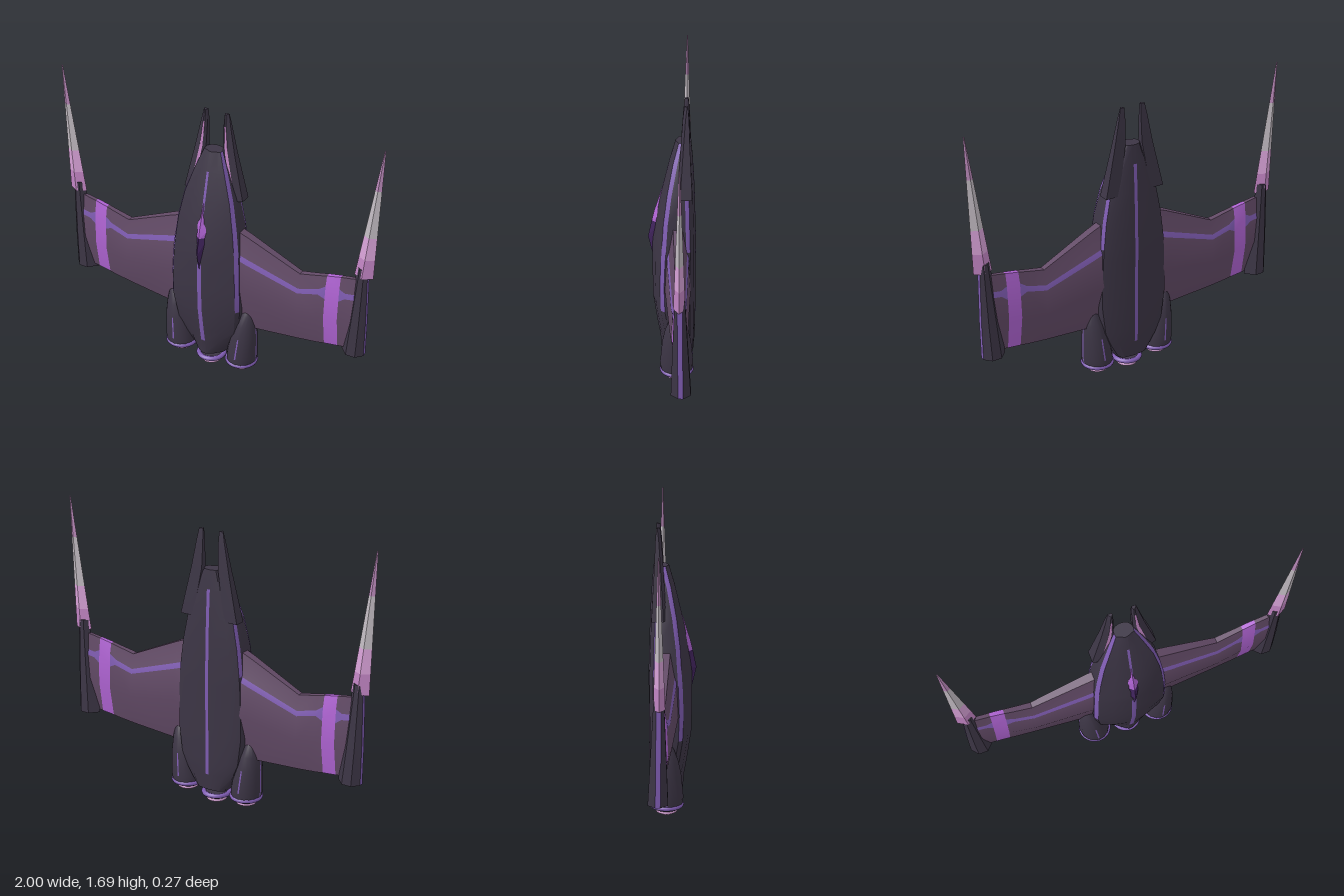
import * as THREE from 'three';
import { toCreasedNormals } from 'three/addons/utils/BufferGeometryUtils.js';

const paint = (name, color) => {
  const m = new THREE.MeshStandardMaterial({ color });
  m.name = name;
  return m;
};
const HULL = paint('charcoal hull', 0x3c3545);
const WING = paint('plum wing', 0x624a66);
const LINE = paint('lavender line', 0x7f5cb2);
const VIOLET = paint('bright violet', 0xb064d4);
const GLASS = paint('dark violet glass', 0x40235c);
const BASE = paint('mauve', 0xc285c4);
const PINK = paint('pale pink', 0xd8a2d8);
const GREY = paint('warm grey', 0xc2bbc2);
const TIP = paint('dusty pink', 0xbb8abb);

// Skin closed rings of [x, y, z]; pick(column, row) gives each panel's material.
function loft(name, rings, pick, side = 1, crease = 0.5) {
  const buckets = new Map();
  const tri = (mat, a, b, c) => {
    if (!buckets.has(mat)) buckets.set(mat, []);
    for (const p of side > 0 ? [a, b, c] : [a, c, b]) buckets.get(mat).push(p[0] * side, p[1], p[2]);
  };
  const n = rings[0].length, last = rings.length - 1;
  for (let j = 0; j < last; j++) {
    for (let i = 0; i < n; i++) {
      const k = (i + 1) % n, mat = pick(i, j);
      tri(mat, rings[j][i], rings[j][k], rings[j + 1][k]);
      tri(mat, rings[j][i], rings[j + 1][k], rings[j + 1][i]);
    }
  }
  // end caps
  const centre = r => [0, 1, 2].map(a => r.reduce((s, p) => s + p[a], 0) / n);
  const c0 = centre(rings[0]), c1 = centre(rings[last]);
  for (let i = 0; i < n; i++) {
    const k = (i + 1) % n;
    tri(pick(i, 0, true), c0, rings[0][k], rings[0][i]);
    tri(pick(i, last - 1, true), c1, rings[last][i], rings[last][k]);
  }
  const geo = new THREE.BufferGeometry(), pos = [], mats = [];
  for (const [mat, list] of buckets) {
    geo.addGroup(pos.length / 3, list.length / 3, mats.length);
    mats.push(mat);
    for (const v of list) pos.push(v);
  }
  geo.setAttribute('position', new THREE.Float32BufferAttribute(pos, 3));
  const mesh = new THREE.Mesh(toCreasedNormals(geo, crease), mats);
  mesh.name = name;
  return mesh;
}

function makeHull() {
  // y, half width, front z, edge z, back z
  const stations = [
    [0.11, 0.1, 0.058, -0.02, -0.125], [0.21, 0.16, 0.067, 0.0, -0.133], [0.3, 0.2, 0.083, 0.02, -0.135],
    [0.47, 0.222, 0.108, 0.045, -0.135], [0.62, 0.22, 0.11, 0.05, -0.135], [0.77, 0.213, 0.11, 0.045, -0.135],
    [0.84, 0.208, 0.108, 0.04, -0.135], [1.0, 0.188, 0.085, 0.03, -0.13], [1.16, 0.155, 0.05, 0.01, -0.125],
    [1.32, 0.1, 0.012, -0.02, -0.115], [1.43, 0.055, -0.02, -0.05, -0.105],
  ];
  const rings = stations.map(([y, w, zf, zs, zb]) => {
    const c = y > 0.9 ? 0.007 : 0.013;
    const half = [
      [c, zf], [w * 0.55, zs + (zf - zs) * 0.65], [w * 0.92, zs + 0.012], [w, zs - 0.012],
      [w, zb + 0.05], [w * 0.95, zb + 0.028], [w * 0.68, zb + 0.008], [0.01, zb],
    ];
    const all = [...half, ...half.map(([x, z]) => [-x, z]).reverse()];
    return all.map(([x, z]) => [x, y, z]);
  });
  return loft('hull', rings, (i, j, cap) => {
    if (cap) return HULL;
    if (i === 15 && ((j >= 1 && j <= 4) || j === 7 || j === 8)) return LINE; // front spine
    if (i === 7 && j >= 1 && j <= 8) return LINE; // back spine
    if ((i === 2 || i === 12) && j >= 3) return LINE; // front edges
    if ((i === 4 || i === 10) && (j === 6 || j === 7)) return LINE; // rear edges
    return HULL;
  });
}

function makeCanopy() {
  // y, half width, ridge z, foot z
  const rows = [
    [0.73, 0.004, 0.11, 0.09], [0.84, 0.034, 0.135, 0.085], [0.94, 0.042, 0.114, 0.075],
    [1.0, 0.055, 0.1, 0.062], [1.05, 0.03, 0.084, 0.055], [1.14, 0.005, 0.057, 0.04],
  ];
  const rings = rows.map(([y, w, zr, zf]) => [[0, y, zr], [w, y, zf], [-w, y, zf]]);
  return loft('canopy', rings, (i, j) => (j < 2 ? GLASS : VIOLET), 1, 0.2);
}

function makeWing(side) {
  // x, leading y, stripe y, stripe half height, trailing y, front z, back z
  const stations = [
    [0.15, 0.99, 0.845, 0.016, 0.33, 0.038, -0.11], [0.25, 0.95, 0.81, 0.016, 0.34, 0.03, -0.11],
    [0.56, 0.81, 0.707, 0.014, 0.365, -0.003, -0.102], [0.68, 0.835, 0.738, 0.016, 0.378, -0.015, -0.099],
    [0.72, 0.845, 0.743, 0.04, 0.385, -0.02, -0.098], [0.8, 0.86, 0.748, 0.04, 0.395, -0.028, -0.097],
    [0.835, 0.866, 0.753, 0.017, 0.4, -0.03, -0.096], [0.92, 0.88, 0.765, 0.017, 0.41, -0.036, -0.095],
  ];
  const rings = stations.map(([x, yl, ys, h, yt, zf, zb]) => {
    const zm = (zf + zb) / 2, t = (zf - zb) / 2, ym = (yl + yt) / 2 - 0.04;
    return [
      [x, yl, zm + t * 0.35], [x, ys + h, zm + t * 0.7], [x, ys - h, zm + t * 0.85], [x, ym, zf], [x, yt, zm + t * 0.2],
      [x, yt, zm - t * 0.2], [x, ym, zb], [x, ys - h, zm - t * 0.85], [x, ys + h, zm - t * 0.7], [x, yl, zm - t * 0.35],
    ];
  });
  return loft('wing', rings, (i, j, cap) => {
    if (cap) return WING;
    if (j === 4) return VIOLET;
    return i === 1 || i === 7 ? LINE : WING;
  }, side);
}

function makeWingPod(side) {
  const rows = [[0.38, 0.82, 0.96, -0.02, -0.125], [0.6, 0.845, 0.96, -0.027, -0.112], [0.955, 0.887, 0.952, -0.04, -0.092]];
  const rings = rows.map(([y, xi, xo, zf, zb]) => {
    const d = xo - xi, zm = (zf + zb) / 2;
    return [[0.35, zf], [0.75, zf], [1, zm + 0.013], [1, zm - 0.013], [0.75, zb], [0.35, zb], [0, zm]]
      .map(([u, z]) => [xi + d * u, y, z]);
  });
  return loft('wingPod', rings, (i, j, cap) => (i === 2 && !cap ? LINE : HULL), side, 0.2);
}

function makeTipFin(side) {
  const bands = [BASE, PINK, GREY, TIP];
  const rings = [0.9, 1.02, 1.16, 1.45, 1.69].map(y => {
    const t = (y - 0.9) / 0.79, xi = 0.872 + 0.12 * t, xo = 0.983 + 0.017 * t, h = 0.028 * (1 - t) + 0.003;
    const xm = (xi + xo) / 2;
    return [[xm, y, -0.064 + h], [xo, y, -0.064], [xm, y, -0.064 - h], [xi, y, -0.064]];
  });
  return loft('tipFin', rings, (i, j) => bands[j], side, 0.2);
}

function makeNoseProng(side) {
  // y, inner x, outer x, front z, back z
  const rows = [
    [1.15, 0.1, 0.186, -0.035, -0.115], [1.22, 0.09, 0.17, -0.038, -0.112], [1.43, 0.054, 0.122, -0.05, -0.1],
    [1.58, 0.05, 0.092, -0.06, -0.094], [1.65, 0.053, 0.078, -0.068, -0.088],
  ];
  const rings = rows.map(([y, xi, xo, zf, zb]) => {
    const d = xo - xi;
    return [[xi + d * 0.25, y, zf], [xi + d * 0.5, y, zf], [xo, y, zf - 0.015], [xo, y, zb], [xi, y, zb], [xi, y, zf - 0.012]];
  });
  return loft('noseProng', rings, (i, j, cap) => (i === 0 && !cap && j > 0 && j < 3 ? BASE : HULL), side, 0.2);
}

function makeNacelle(side) {
  // narrow columns at the front and outer side carry the painted lines
  const angles = [-3, 3, 25, 47, 67, 87, 93, 115, 137, 158, 177, 183, 205, 227, 248, 270, 292, 314, 336];
  const rows = [
    [0.1, 0.205, 0.088], [0.14, 0.208, 0.091], [0.28, 0.221, 0.078], [0.36, 0.23, 0.062],
    [0.43, 0.241, 0.038], [0.48, 0.245, 0.008],
  ];
  const rings = rows.map(([y, cx, r]) => angles.map(a => {
    const t = THREE.MathUtils.degToRad(a);
    return [cx + Math.sin(t) * r, y, -0.033 + Math.cos(t) * (r + 0.004)];
  }));
  return loft('engineNacelle', rings, (i, j, cap) => {
    if (cap) return HULL;
    return (i === 0 && j === 1) || (i === 5 && j < 4) || (i === 10 && j === 1) ? LINE : HULL;
  }, side, 0.6);
}

// Collar ring, dark throat and glowing double-cone exhaust
function makeExhaust(x, y, r) {
  const group = new THREE.Group();
  group.name = 'exhaust';
  const add = (name, geo, mat) => {
    const mesh = new THREE.Mesh(geo, mat);
    mesh.name = name;
    group.add(mesh);
    return mesh;
  };
  add('collarRing', new THREE.TorusGeometry(r, 0.014, 8, 28).rotateX(Math.PI / 2), LINE);
  add('throat', new THREE.CylinderGeometry(r, r * 0.85, 0.03, 24), HULL).position.y = -0.008;
  const profile = [[0, -0.065], [0.03, -0.059], [0.06, -0.042], [0.035, -0.028], [0.03, -0.01]];
  add('glowCone', new THREE.LatheGeometry(profile.map(p => new THREE.Vector2(...p)), 16), PINK);
  group.position.set(x, y, -0.033);
  return group;
}

export function createModel() {
  const model = new THREE.Group();
  model.name = 'starfighter';
  model.add(makeHull(), makeCanopy(), makeExhaust(0, 0.065, 0.076));
  for (const side of [1, -1]) {
    const half = new THREE.Group();
    half.name = side > 0 ? 'leftSide' : 'rightSide';
    half.add(makeWing(side), makeWingPod(side), makeTipFin(side), makeNoseProng(side), makeNacelle(side));
    half.add(makeExhaust(side * 0.203, 0.093, 0.084));
    model.add(half);
  }
  return model;
}
